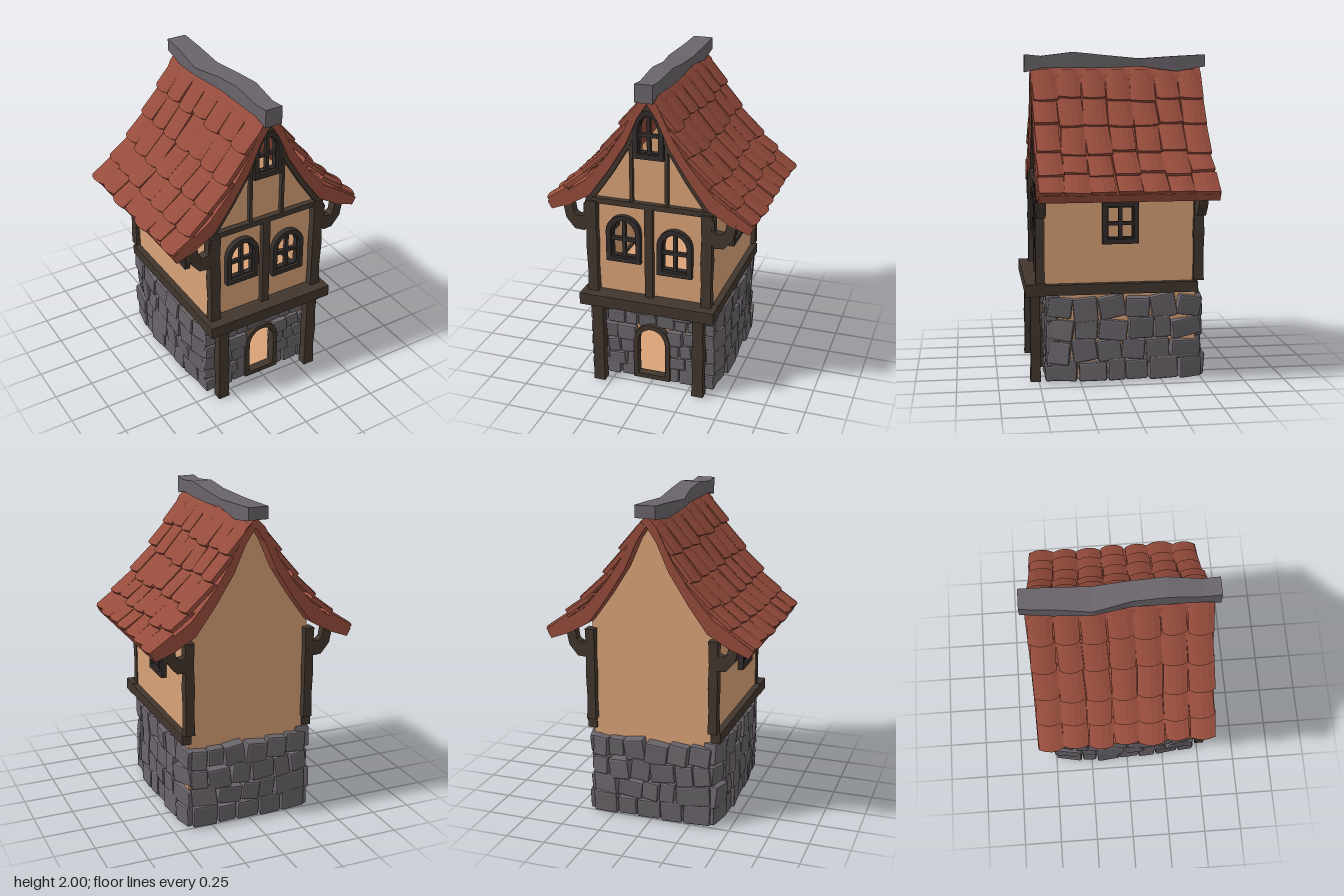
import * as THREE from 'three';
import { mergeGeometries } from 'three/addons/utils/BufferGeometryUtils.js';
import { RoundedBoxGeometry } from 'three/addons/geometries/RoundedBoxGeometry.js';

const flat = (color, name, side = THREE.FrontSide) => {
  const m = new THREE.MeshStandardMaterial({ color, flatShading: true, side });
  m.name = name;
  return m;
};

export function createModel() {
  const plaster = flat(0xd8a277, 'plaster', THREE.DoubleSide);
  const wood = flat(0x41362e, 'dark wood');
  const frameWood = flat(0x322d2b, 'window frame wood');
  const stone = flat(0x69646a, 'stone');
  const tile = flat(0x964c3c, 'roof tile');
  const house = new THREE.Group();
  house.name = 'house';

  let seed = 7;
  const rnd = (a, b) => {
    seed = (seed * 16807) % 2147483647;
    return a + (b - a) * (seed / 2147483647);
  };
  const add = (name, geo, mat, x = 0, y = 0, z = 0, ry = 0, parent = house) => {
    const m = new THREE.Mesh(geo, mat);
    m.name = name;
    m.position.set(x, y, z);
    m.rotation.y = ry;
    parent.add(m);
    return m;
  };
  // box given by its min and max on each axis
  const block = (name, mat, x0, x1, y0, y1, z0, z1) =>
    add(name, new THREE.BoxGeometry(x1 - x0, y1 - y0, z1 - z0), mat, (x0 + x1) / 2, (y0 + y1) / 2, (z0 + z1) / 2);
  const poly = (pts) => new THREE.Shape(pts.map((p) => new THREE.Vector2(p[0], p[1])));
  const extrude = (shape, depth) => new THREE.ExtrudeGeometry(shape, { depth, bevelEnabled: false, curveSegments: 10 });
  const mirrorPts = (pts) => [...pts, ...pts.map(([x, y]) => [-x, y]).reverse()];
  // opening with a rounded top of height r (r = 0 gives a rectangle)
  const arch = (x, y, w, h, r, Type = THREE.Shape) => {
    const s = new Type();
    s.moveTo(x - w / 2, y);
    s.lineTo(x + w / 2, y);
    s.lineTo(x + w / 2, y + h - r);
    if (r > 0) s.absellipse(x, y + h - r, w / 2, r, 0, Math.PI, false);
    else s.lineTo(x - w / 2, y + h);
    s.closePath();
    return s;
  };
  const wall = (name, shape, holes, x, z, ry) => {
    shape.holes = holes.map(([hx, hy, w, h, r]) => arch(hx, hy + 0.02, w - 0.04, h - 0.04, r * 0.85, THREE.Path));
    add(name, new THREE.ShapeGeometry(shape, 10), plaster, x, 0, z, ry);
  };
  // frame: outer ring, thinner inner lip and crossed glazing bars
  const frame = (name, mat, [hx, hy, w, h, r], x, z, ry, bars = true) => {
    const g = new THREE.Group();
    g.name = name;
    g.position.set(x, 0, z);
    g.rotation.y = ry;
    const ring = (t0, t1, depth, label) => {
      const s = arch(hx, hy + t0, w - 2 * t0, h - 2 * t0, r * (1 - t0 * 6));
      s.holes = [arch(hx, hy + t1, w - 2 * t1, h - 2 * t1, r * (1 - t1 * 6), THREE.Path)];
      add(label, extrude(s, depth), mat, 0, 0, -0.02, 0, g);
    };
    ring(0, 0.03, 0.055, 'frameRing');
    if (bars) {
      ring(0.028, 0.038, 0.035, 'frameLip');
      add('uprightBar', new THREE.BoxGeometry(0.022, h - 0.04, 0.025), mat, hx, hy + h / 2, 0.005, 0, g);
      add('crossBar', new THREE.BoxGeometry(w - 0.04, 0.022, 0.025), mat, hx, hy + h * 0.48, 0.005, 0, g);
    }
    house.add(g);
  };

  // roof underside curve, also the gable outline
  const under = [[0.62, 1.135], [0.5, 1.18], [0.37, 1.255], [0.25, 1.42], [0.135, 1.6], [0.06, 1.77], [0, 1.86]];
  const over = [[0, 1.92], [0.06, 1.86], [0.15, 1.675], [0.25, 1.52], [0.4, 1.345], [0.645, 1.18]];
  const W = 0.39, FRONT = 0.47, BACK = -0.46, BASE = 0.02;
  const gable = (y0) => poly(mirrorPts([[W, y0], [W, 1.235], ...under.slice(2)]));

  // walls with real openings
  const frontWindows = [[-0.165, 0.835, 0.22, 0.305, 0.11], [0.16, 0.785, 0.22, 0.305, 0.11], [0, 1.52, 0.19, 0.295, 0.13]];
  const door = [0, 0.02, 0.24, 0.385, 0.13];
  wall('upperFrontWall', gable(0.58), frontWindows, 0, FRONT, 0);
  wall('backWall', gable(BASE), [], 0, BACK, Math.PI);
  wall('lowerFrontWall', poly([[-W, BASE], [W, BASE], [W, 0.6], [-W, 0.6]]), [door], 0, 0.43, 0);
  for (const [s, c] of [[1, 0.005], [-1, 0.14]]) {
    const win = [-s * c, 0.855, 0.22, 0.255, 0];
    const a = -s * FRONT, b = -s * BACK, l = -s * 0.43;
    wall('sideWall', poly([[a, 0.58], [b, 0.58], [b, 1.24], [a, 1.24]]), [win], s * W, 0, s * Math.PI / 2);
    wall('lowerSideWall', poly([[l, BASE], [b, BASE], [b, 0.58], [l, 0.58]]), [], s * W, 0, s * Math.PI / 2);
    frame('sideWindow', frameWood, win, s * W, 0, s * Math.PI / 2);
  }
  frontWindows.forEach((w) => frame('frontWindow', frameWood, w, 0, FRONT, 0));
  frame('doorFrame', wood, door, 0, 0.44, 0, false);
  block('groundFloor', plaster, -W, W, BASE, 0.03, BACK, 0.43);
  block('upperFloor', plaster, -W, W, 0.58, 0.6, BACK, FRONT);

  // timber framing
  block('frontBeam', wood, -0.43, 0.43, 0.545, 0.62, 0.46, 0.58);
  block('gableBeam', wood, -0.4, 0.4, 1.205, 1.24, 0.46, 0.505);
  block('centrePost', wood, -0.027, 0.023, 0.62, 1.21, 0.46, 0.505);
  const bracket = poly([[0.38, 1.06], [0.41, 1.02], [0.47, 1.025], [0.525, 1.09], [0.545, 1.19], [0.485, 1.2],
    [0.475, 1.13], [0.45, 1.11], [0.41, 1.12], [0.41, 1.2], [0.38, 1.2]]);
  // post with a slightly wavy outline
  const post = (name, x, z, w, d, y0, y1) => {
    const g = new THREE.BoxGeometry(w, y1 - y0, d, 1, 4, 1);
    const p = g.attributes.position;
    for (let i = 0; i < p.count; i++) {
      const k = 1 + 0.07 * Math.cos((p.getY(i) / (y1 - y0)) * 4 * Math.PI);
      p.setX(i, p.getX(i) * k);
      p.setZ(i, p.getZ(i) * k);
    }
    add(name, g, wood, x, (y0 + y1) / 2, z);
  };
  for (const s of [1, -1]) {
    post('lowerPost', s * 0.325, 0.52, 0.07, 0.06, 0, 0.56);
    post('frontCornerPost', s * 0.363, 0.49, 0.065, 0.055, 0.61, 1.22);
    post('backCornerPost', s * 0.39, -0.475, 0.055, 0.062, 0.62, 1.2);
    block('gablePost', wood, s * 0.11 - 0.01, s * 0.11 + 0.01, 1.23, 1.62, 0.46, 0.495);
    const beam = [s * 0.37, s * 0.43].sort((a, b) => a - b);
    block('sideBeam', wood, beam[0], beam[1], 0.55, 0.615, -0.47, 0.5);
    for (const z of [0.46, -0.505]) {
      const g = extrude(bracket, 0.055);
      if (s < 0) g.rotateY(Math.PI).translate(0, 0, 0.055);
      add('eaveBracket', g, wood, 0, 0, z);
    }
  }
  const rake = under.slice(2);
  const inner = rake.map(([x, y]) => (x ? [x * 0.96 - 0.012, y - 0.018] : [0, y - 0.05]));
  const trim = poly([...mirrorPts(rake), ...mirrorPts(inner).reverse()]);
  add('gableTrim', extrude(trim, 0.035), wood, 0, 0, 0.465);

  // rubble stones in loose rows on one face (u along it, v up), falling back by bend at its ends
  const rubble = (name, u0, u1, top, rows, wMin, wMax, tilt, bend, pos, ry) => {
    const parts = [];
    const rh = top / rows;
    for (let r = 0; r < rows; r++) {
      let u = u0;
      while (u < u1 - 0.03) {
        let w = rnd(wMin, wMax);
        if (u + w > u1 - wMin * 0.6) w = u1 - u;
        const h = rh * rnd(0.86, 1.12), d = rnd(0.065, 0.1);
        const cu = u + w / 2, cv = rh * (r + 0.5) + rnd(-0.012, 0.012);
        const e = cu / u1;
        const g = new RoundedBoxGeometry(w * 0.96, h, d, 1, 0.011);
        const t = r === 0 ? 0.03 : tilt;
        g.rotateZ(rnd(-t, t)).rotateY(rnd(-0.1, 0.1) + bend * 10 * e ** 3).rotateX(rnd(-0.08, 0.08));
        g.translate(cu, Math.min(Math.max(cv, h / 2 + 0.012), top - h / 2 + 0.01), -bend * e ** 4);
        parts.push(g);
        u += w;
      }
    }
    add(name, mergeGeometries(parts), stone, ...pos, ry);
  };
  rubble('stonesLeftOfDoor', 0.1, 0.41, 0.375, 4, 0.075, 0.125, 0.14, 0, [0, 0, 0.42], 0);
  rubble('stonesRightOfDoor', -0.41, -0.1, 0.375, 4, 0.075, 0.125, 0.14, 0, [0, 0, 0.42], 0);
  rubble('stonesOverDoor', -0.41, 0.41, 0.17, 2, 0.08, 0.14, 0.14, 0, [0, 0.372, 0.42], 0);
  rubble('backStones', -0.38, 0.38, 0.52, 4, 0.1, 0.17, 0.14, 0.025, [0, 0, -0.487], Math.PI);
  for (const s of [1, -1]) {
    rubble('sideStones', -0.47, 0.47, 0.53, 4, 0.09, 0.2, 0.2, 0.03, [s * 0.395, 0, -0.025], s * Math.PI / 2);
  }
  add('innerStone', new RoundedBoxGeometry(0.14, 0.25, 0.06, 1, 0.013), stone, 0.005, 0.19, -0.43).rotation.z = -0.12;

  // roof deck
  const deck = poly([...mirrorPts(over.slice().reverse()), ...mirrorPts(under).reverse()]);
  add('roofDeck', extrude(deck, 1.07), tile, 0, 0, -0.555);

  // overlapping curved tiles, one slope then the same turned round
  const line = [[0.05, 1.885], [0.165, 1.72], [0.275, 1.565], [0.41, 1.41], [0.53, 1.295], [0.635, 1.2]];
  for (const s of [1, -1]) {
    const parts = [];
    for (let r = 0; r < line.length - 1; r++) {
      for (let c = 0; c < 7; c++) {
        const a = new THREE.Vector3(line[r][0], line[r][1], 0);
        const b = new THREE.Vector3(line[r + 1][0], line[r + 1][1], 0);
        const down = b.clone().sub(a);
        const len = down.length() + 0.03 + rnd(-0.018, 0.018);
        down.normalize();
        const n = new THREE.Vector3(-down.y, down.x, 0);
        const w = 0.15 * rnd(0.95, 1.04), lift = rnd(0.002, 0.012);
        const g = new THREE.BoxGeometry(w, 0.026, len, 4, 1, 1);
        const p = g.attributes.position;
        for (let i = 0; i < p.count; i++) {
          const x = p.getX(i) / (w / 2), lower = p.getZ(i) > 0;
          p.setY(i, p.getY(i) - 0.014 * x * x + (lower ? lift : -0.016));
          if (lower) p.setZ(i, p.getZ(i) - 0.014 * x * x);
        }
        g.rotateY(rnd(-0.06, 0.06));
        const mat = new THREE.Matrix4().makeBasis(new THREE.Vector3(0, 0, -1), n, down);
        const mid = a.clone().addScaledVector(down, len / 2 - 0.012);
        mat.setPosition(mid.x, mid.y, (c - 3) * 0.152 + rnd(-0.004, 0.004));
        parts.push(g.applyMatrix4(mat));
      }
    }
    add('roofTiles', mergeGeometries(parts), tile, 0, 0, -0.02, s > 0 ? 0 : Math.PI);
  }

  // crooked ridge stone: z, left x, right x, bottom y, top y
  const cuts = [[-0.58, -0.065, 0.06, 1.91, 1.985], [-0.4, -0.075, 0.06, 1.88, 1.975], [-0.17, -0.1, 0.055, 1.91, 1.96],
    [0.05, -0.06, 0.065, 1.9, 1.98], [0.25, -0.06, 0.065, 1.9, 2], [0.45, -0.06, 0.05, 1.9, 1.975], [0.55, -0.06, 0.05, 1.875, 1.985]];
  const ridge = new THREE.BoxGeometry(1, 1, 6, 1, 1, 6);
  const rp = ridge.attributes.position;
  for (let i = 0; i < rp.count; i++) {
    const [z, l, r, lo, hi] = cuts[Math.round(rp.getZ(i) + 3)];
    rp.setXYZ(i, rp.getX(i) > 0 ? r : l, rp.getY(i) > 0 ? hi : lo, z);
  }
  add('ridge', ridge, stone);
  return house;
}
